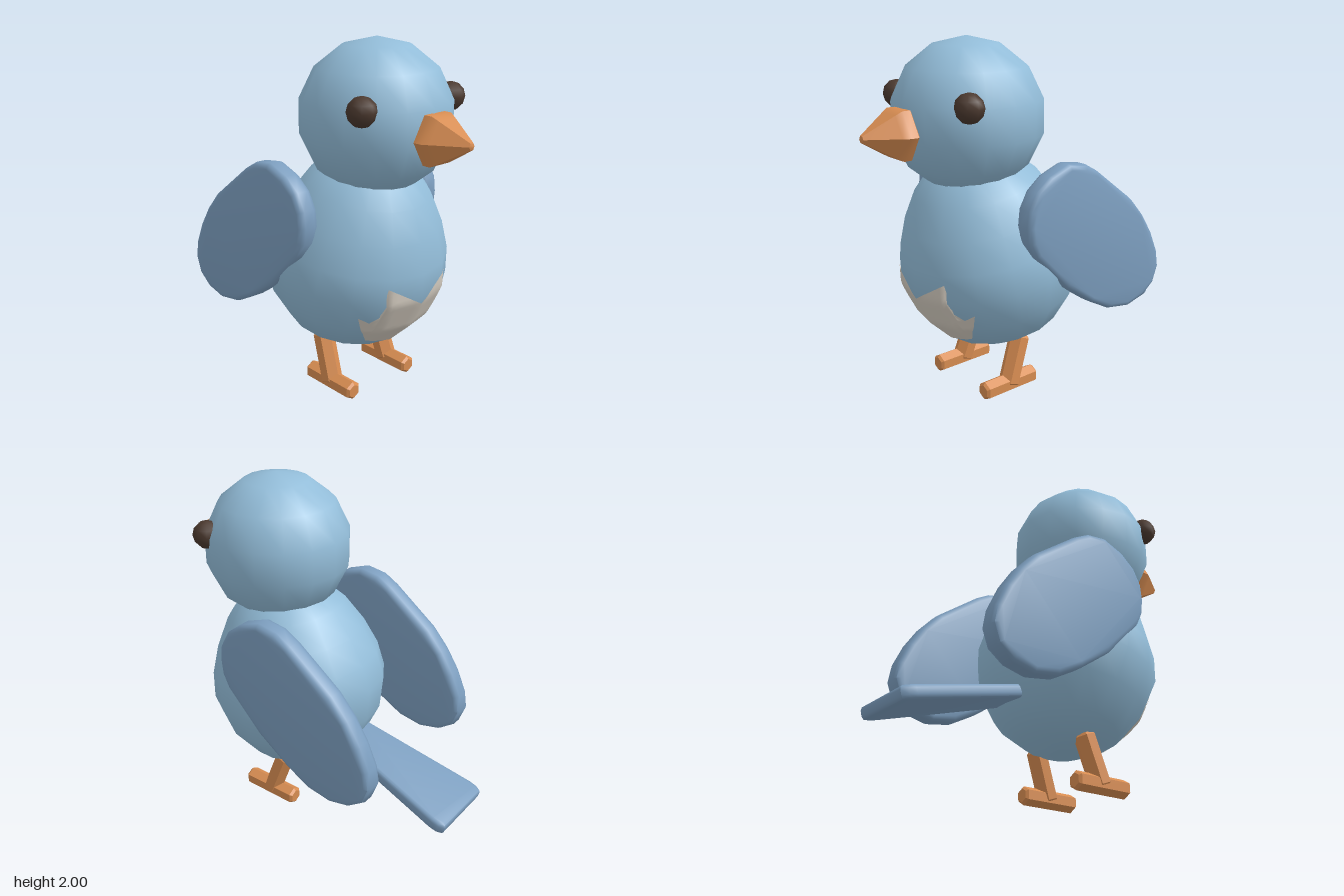
import * as THREE from 'three';
import { toCreasedNormals } from 'three/addons/utils/BufferGeometryUtils.js';

const paint = (color, side = THREE.FrontSide) => new THREE.MeshStandardMaterial({ color, side });
const blue = paint(0x93bdd9), wingBlue = paint(0x7d9fc0), orange = paint(0xd88d52);
const brown = paint(0x4a382e), cream = paint(0xd6cec2, THREE.DoubleSide);

const vectors = (pairs) => pairs.map(([x, y]) => new THREE.Vector2(x, y));

function add(parent, name, geometry, material, x = 0, y = 0, z = 0) {
  const mesh = new THREE.Mesh(geometry, material);
  mesh.name = name;
  mesh.position.set(x, y, z);
  parent.add(mesh);
  return mesh;
}

// Flat outline with softened edges, centred through its thickness
function slab(outline, thickness, bevel) {
  const geometry = new THREE.ExtrudeGeometry(new THREE.Shape(outline), {
    depth: thickness - 2 * bevel, bevelEnabled: true, bevelThickness: bevel,
    bevelSize: bevel, bevelOffset: -bevel, bevelSegments: 2, curveSegments: 1,
  });
  geometry.translate(0, 0, bevel - thickness / 2);
  return toCreasedNormals(geometry, 0.85);
}

// Capped rod with chamfered ends between two points
function rod(parent, name, a, b, radius, sides, material) {
  const length = a.distanceTo(b), c = 0.014;
  const profile = vectors([[0, 0], [radius - c, 0], [radius, c], [radius, length - c], [radius - c, length], [0, length]]);
  const geometry = toCreasedNormals(new THREE.LatheGeometry(profile, sides), 0.7);
  const mesh = add(parent, name, geometry, material, a.x, a.y, a.z);
  mesh.quaternion.setFromUnitVectors(new THREE.Vector3(0, 1, 0), b.clone().sub(a).normalize());
}

// Height on a polyline at x
function lineAt(points, x) {
  for (let i = 1; i < points.length; i++) {
    const [x0, y0] = points[i - 1], [x1, y1] = points[i];
    if (x <= x1) return y0 + (y1 - y0) * (x - x0) / (x1 - x0);
  }
  return points[points.length - 1][1];
}

// Zigzag patch laid over the front of the body
function bellyGeometry(body) {
  const top = [[0, 0.62], [0.215, 0.75], [0.225, 0.58], [0.26, 0.54], [0.32, 0.58]];
  const bottom = [[0, 0.32], [0.19, 0.38], [0.28, 0.49], [0.32, 0.58]];
  const half = [0.04, 0.08, 0.12, 0.16, 0.19, 0.215, 0.225, 0.245, 0.26, 0.28, 0.3, 0.32];
  const columns = [...half.map((x) => -x).reverse(), 0, ...half];
  const rows = 14, positions = [], index = [];
  const ray = new THREE.Raycaster();
  const back = new THREE.Vector3(0, 0, -1);
  body.updateMatrixWorld(true);
  columns.forEach((x, i) => {
    const high = lineAt(top, Math.abs(x)), low = lineAt(bottom, Math.abs(x));
    for (let j = 0; j <= rows; j++) {
      const y = low + (high - low) * j / rows;
      ray.set(new THREE.Vector3(x + 0.0003, y, 2), back);
      const hit = ray.intersectObject(body)[0];
      positions.push(x, y, (hit ? hit.point.z : 0.5) + 0.008);
      if (i && j) {
        const d = i * (rows + 1) + j, b = d - rows - 1;
        index.push(b - 1, d - 1, d, b - 1, d, b);
      }
    }
  });
  const geometry = new THREE.BufferGeometry();
  geometry.setAttribute('position', new THREE.Float32BufferAttribute(positions, 3));
  geometry.setIndex(index);
  geometry.computeVertexNormals();
  return geometry;
}

export function createModel() {
  const bird = new THREE.Group();
  bird.name = 'bird';

  // Egg-shaped body leaning forward
  const egg = vectors([[0, -0.5], [0.18, -0.47], [0.35, -0.36], [0.47, -0.19], [0.52, 0],
    [0.5, 0.15], [0.44, 0.31], [0.35, 0.47], [0.22, 0.61], [0, 0.69]]);
  const body = add(bird, 'body', new THREE.LatheGeometry(egg, 16), blue, 0, 0.74, 0.185);
  body.rotation.x = 0.2;
  add(bird, 'bellyPatch', bellyGeometry(body), cream);

  // Head
  add(bird, 'head', new THREE.SphereGeometry(0.42, 16, 7), blue, 0, 1.58, 0.33);

  // Six-sided beak
  const beak = vectors([[0, 0], [0.11, 0], [0.147, 0.025], [0.147, 0.07], [0.125, 0.105], [0.02, 0.265], [0, 0.272]]);
  const beakGeometry = toCreasedNormals(new THREE.LatheGeometry(beak, 6, Math.PI / 6), 0.6);
  add(bird, 'beak', beakGeometry, orange, 0, 1.53, 0.71).rotation.x = Math.PI / 2;

  // Wing outline as z, y
  const wing = vectors([[0.33, 1.06], [0.32, 1.15], [0.27, 1.24], [0.18, 1.31], [0.05, 1.357], [-0.07, 1.34],
    [-0.16, 1.29], [-0.43, 1.09], [-0.53, 0.98], [-0.61, 0.86], [-0.67, 0.73], [-0.687, 0.63], [-0.65, 0.53],
    [-0.56, 0.465], [-0.43, 0.435], [-0.28, 0.46], [-0.13, 0.54], [0.06, 0.67], [0.16, 0.77], [0.28, 0.89], [0.32, 0.97]]);
  const wingGeometry = slab(wing, 0.12, 0.03).rotateY(-Math.PI / 2);

  for (const [side, s] of [['left', 1], ['right', -1]]) {
    add(bird, side + 'Wing', wingGeometry, wingBlue, s * 0.462, 0, 0);
    add(bird, side + 'Eye', new THREE.SphereGeometry(0.079, 8, 6), brown, s * 0.327, 1.68, 0.56);
    const ankle = new THREE.Vector3(s * 0.222, 0.04, 0.235);
    rod(bird, side + 'Leg', ankle, new THREE.Vector3(s * 0.205, 0.32, 0.135), 0.06, 6, orange);
    rod(bird, side + 'Foot', new THREE.Vector3(s * 0.222, 0.053, 0.05), new THREE.Vector3(s * 0.222, 0.053, 0.415), 0.053, 6, orange);
  }

  // Tail widening to the back and sloping down
  const tail = vectors([[-0.12, 0], [0.12, 0], [0.215, 0.77], [0.213, 0.815], [0.195, 0.85],
    [-0.195, 0.85], [-0.213, 0.815], [-0.215, 0.77]]);
  const tailGeometry = slab(tail, 0.075, 0.022).rotateX(-Math.PI / 2);
  add(bird, 'tail', tailGeometry, wingBlue, 0, 0.53, -0.15).rotation.x = -0.27;

  return bird;
}
